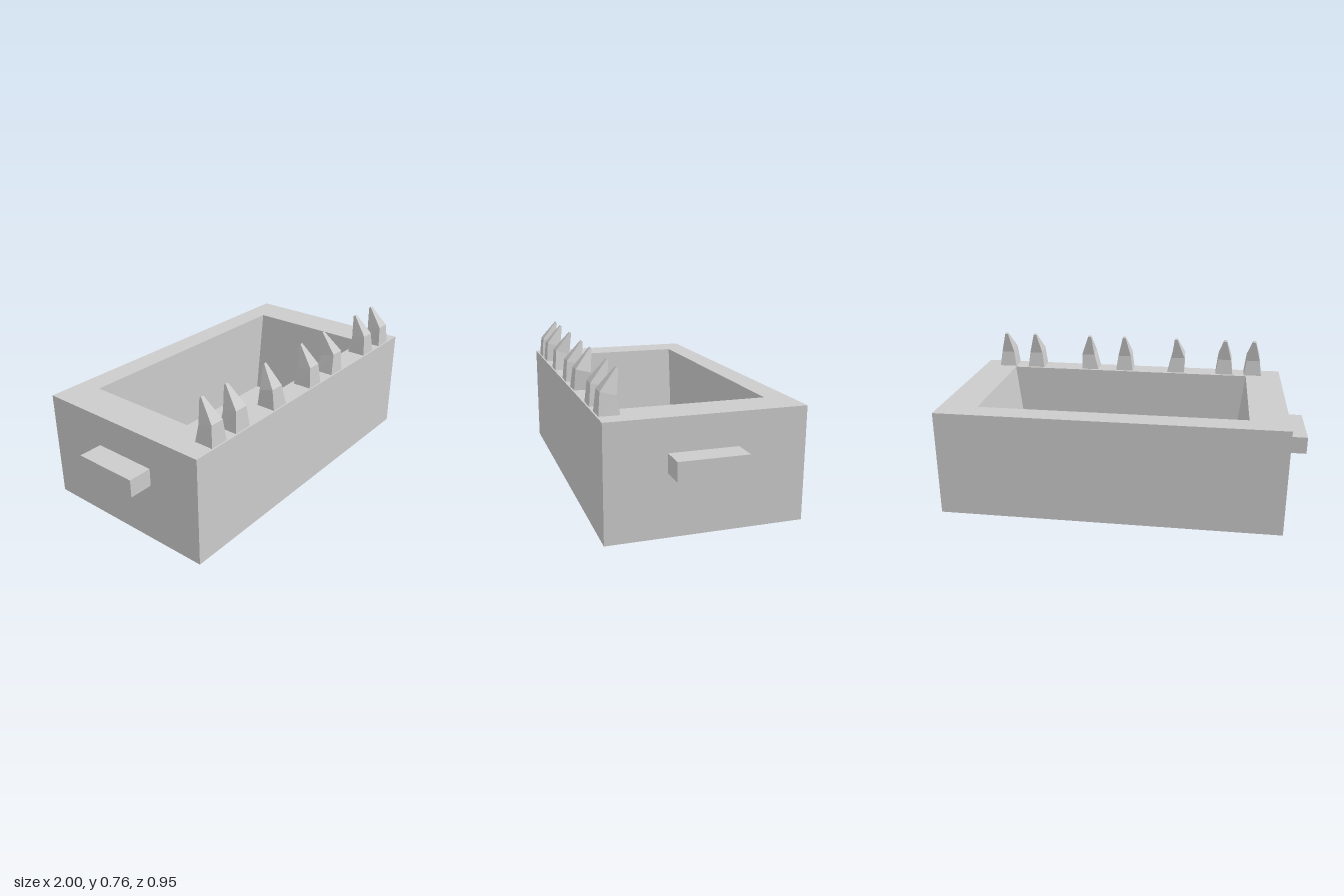
import * as THREE from 'three';

const material = new THREE.MeshStandardMaterial({ color: 0xcccccc, flatShading: true });

// Rectangular ring; front and back edges may sit at different heights
const ring = (x0, x1, zBack, zFront, yBack, yFront = yBack) => [
  [x0, yFront, zFront], [x1, yFront, zFront], [x1, yBack, zBack], [x0, yBack, zBack],
];

// Skins consecutive four-cornered rings and caps both ends
function loft(rings) {
  const pos = [];
  const quad = (a, b, c, d) => pos.push(...a, ...b, ...c, ...a, ...c, ...d);
  for (let r = 0; r < rings.length - 1; r++) {
    for (let i = 0; i < 4; i++) {
      const j = (i + 1) % 4;
      quad(rings[r][i], rings[r][j], rings[r + 1][j], rings[r + 1][i]);
    }
  }
  quad(...[...rings[0]].reverse());
  quad(...rings[rings.length - 1]);
  const geometry = new THREE.BufferGeometry();
  geometry.setAttribute('position', new THREE.Float32BufferAttribute(pos, 3));
  geometry.computeVertexNormals();
  return geometry;
}

function addMesh(group, name, geometry) {
  const mesh = new THREE.Mesh(geometry, material);
  mesh.name = name;
  group.add(mesh);
  return mesh;
}

export function createModel() {
  const model = new THREE.Group();
  model.name = 'spikedTrough';
  const top = 0.555;

  // Trough: outer walls, flat rim, cavity with sloping ends
  addMesh(model, 'trough', loft([
    ring(-0.88, 0.88, -0.48, 0.475, 0),
    ring(-0.88, 0.88, -0.48, 0.475, top),
    ring(-0.685, 0.685, -0.36, 0.353, top),
    ring(-0.63, 0.63, -0.36, 0.353, 0.07),
  ]));

  // Handle blocks on both ends
  for (const [name, side] of [['leftHandle', 1], ['rightHandle', -1]]) {
    addMesh(model, name, new THREE.BoxGeometry(0.12, 0.09, 0.334))
      .position.set(side * 0.94, 0.349, 0.018);
  }

  // Spikes along the front rim: [centre x, sideways bend at mid height]
  const spikes = new THREE.Group();
  spikes.name = 'spikes';
  const layout = [[-0.724, 0], [-0.56, 0], [-0.277, -0.013], [0.027, 0],
    [0.232, 0.013], [0.563, 0], [0.737, 0]];
  layout.forEach(([x, bend], i) => {
    addMesh(spikes, `spike${i + 1}`, loft([
      ring(-0.049, 0.049, 0.37, 0.467, top),
      ring(bend - 0.037, bend + 0.037, 0.382, 0.457, 0.64, 0.66),
      ring(-0.008, 0.008, 0.365, 0.374, 0.752, 0.76),
    ])).position.x = x;
  });
  model.add(spikes);

  return model;
}
